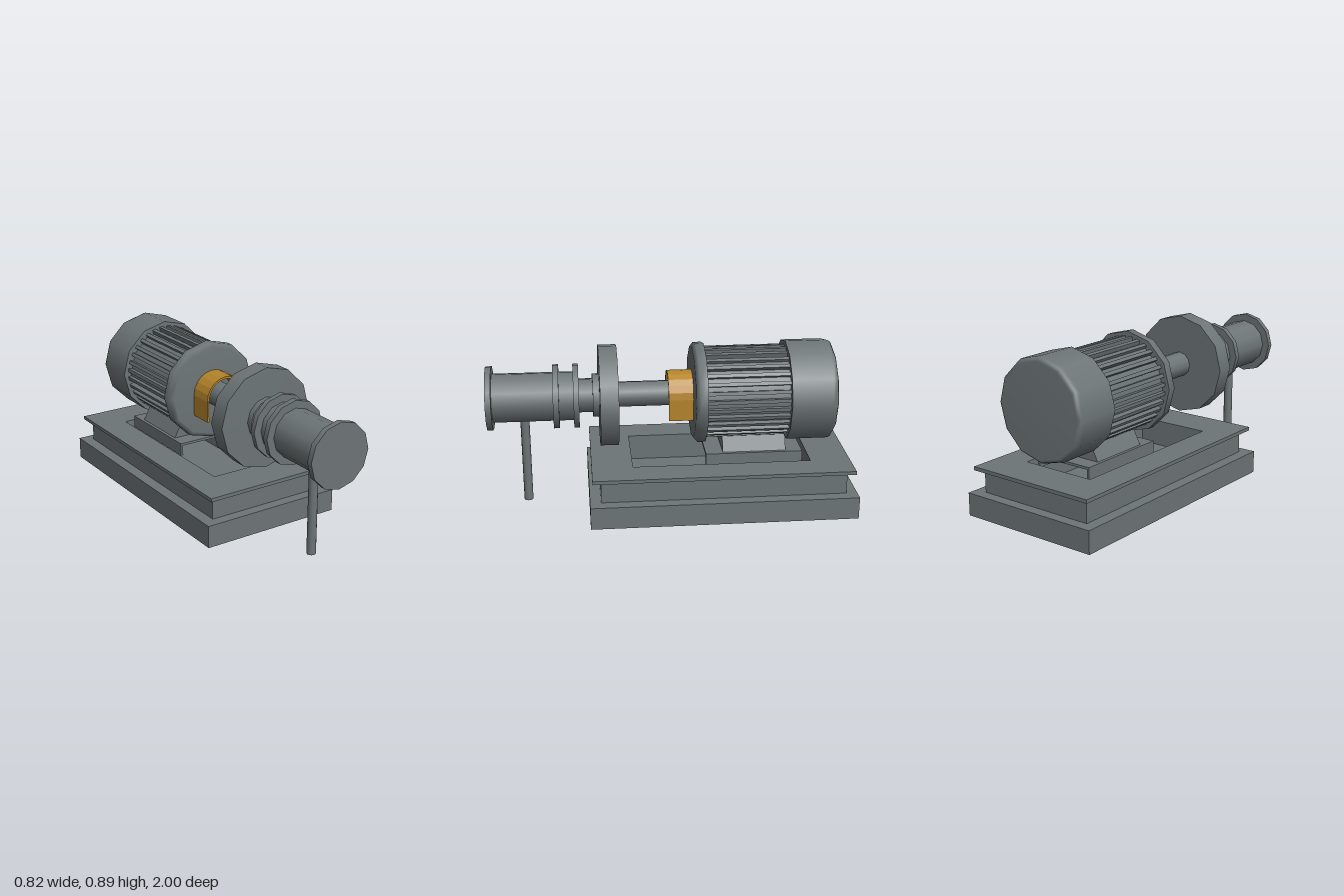
import * as THREE from 'three';

export function createModel() {
  const group = new THREE.Group();
  const steel = new THREE.MeshStandardMaterial({ color: 0x6d7577 });
  steel.name = 'steel grey';
  const amber = new THREE.MeshStandardMaterial({ color: 0xb4842a });
  amber.name = 'amber guard';
  const AXIS = 0.615; // height of the shaft line

  const add = (name, geometry, material = steel, parent = group) => {
    const mesh = new THREE.Mesh(geometry, material);
    mesh.name = name;
    parent.add(mesh);
    return mesh;
  };
  const box = (name, x0, x1, y0, y1, z0, z1) =>
    add(name, new THREE.BoxGeometry(x1 - x0, y1 - y0, z1 - z0)
      .translate((x0 + x1) / 2, (y0 + y1) / 2, (z0 + z1) / 2));
  // Twelve-sided disc or barrel along the shaft line
  const barrel = (name, r, z0, z1) =>
    add(name, new THREE.CylinderGeometry(r, r, z1 - z0, 12)
      .rotateX(Math.PI / 2).translate(0, AXIS, (z0 + z1) / 2));
  // Turned part: [radius, z] points listed from back to front
  const turned = (name, points) =>
    add(name, new THREE.LatheGeometry(points.map(([r, z]) => new THREE.Vector2(r, z)), 12)
      .rotateX(Math.PI / 2).translate(0, AXIS, 0));
  // Rectangular frame with a rectangular opening
  const frame = (name, w, y0, y1, z0, z1) => {
    const shape = new THREE.Shape([[-w, -z1], [w, -z1], [w, -z0], [-w, -z0]]
      .map(([x, y]) => new THREE.Vector2(x, y)));
    shape.holes.push(new THREE.Path([[-0.215, -0.22], [-0.215, 0.76], [0.215, 0.76], [0.215, -0.22]]
      .map(([x, y]) => new THREE.Vector2(x, y))));
    add(name, new THREE.ExtrudeGeometry(shape, { depth: y1 - y0, bevelEnabled: false })
      .rotateX(-Math.PI / 2).translate(0, y0, 0));
  };

  // Stepped base
  box('plinth', -0.41, 0.41, 0, 0.125, -1, 0.46);
  frame('baseFrame', 0.345, 0.125, 0.25, -0.94, 0.4);
  frame('baseTopPlate', 0.382, 0.25, 0.27, -0.98, 0.445);

  // Motor foot: inverted channel with a tapered pedestal
  box('footPlate', -0.175, 0.175, 0.298, 0.312, -0.72, -0.185);
  for (const s of [-1, 1]) {
    box('footLeg', s * 0.168 - 0.007, s * 0.168 + 0.007, 0.24, 0.3, -0.72, -0.185);
  }
  const wedge = new THREE.Shape([[-0.157, 0.312], [0.157, 0.312], [0.095, 0.43], [-0.095, 0.43]]
    .map(([x, y]) => new THREE.Vector2(x, y)));
  add('motorPedestal', new THREE.ExtrudeGeometry(wedge, { depth: 0.35, bevelEnabled: false })
    .translate(0, 0, -0.63));

  // Motor housing with chamfered end covers
  turned('motorRearCover', [[0, -0.89], [0.255, -0.89], [0.272, -0.88], [0.28, -0.86], [0.28, -0.635]]);
  barrel('rearCoverFace', 0.279, -0.645, -0.635);
  turned('motorFrontCover', [[0.28, -0.185], [0.28, -0.14], [0.255, -0.12], [0, -0.12]]);
  barrel('frontCoverFace', 0.279, -0.185, -0.175);
  barrel('motorCore', 0.235, -0.64, -0.18);

  // Cooling fins around the motor
  const fins = new THREE.Group();
  fins.name = 'coolingFins';
  fins.position.set(0, AXIS, -0.41);
  group.add(fins);
  const finCount = 32;
  for (let i = 0; i < finCount; i++) {
    const fin = add('coolingFin', new THREE.BoxGeometry(0.04, 0.02, 0.46).translate(0.232, 0, 0), steel, fins);
    fin.rotation.z = ((i + 0.5) / finCount) * Math.PI * 2;
  }

  // Shaft and pump
  barrel('driveShaft', 0.07, -0.13, 0.3);
  barrel('pumpBackPlate', 0.28, 0.29, 0.39);
  barrel('neckCollar', 0.12, 0.385, 0.425);
  barrel('pumpNeck', 0.094, 0.385, 0.51);
  barrel('pumpBody', 0.135, 0.5, 0.98);
  for (const [z0, z1] of [[0.5, 0.53], [0.608, 0.64], [0.968, 1]]) {
    barrel('pumpFlange', 0.177, z0, z1);
  }
  add('supportPost', new THREE.CylinderGeometry(0.025, 0.025, 0.49, 12).translate(0, 0.245, 0.8));

  // Arched coupling guard, open below
  const arch = new THREE.Shape();
  arch.moveTo(0.125, -0.12);
  arch.lineTo(0.125, 0);
  arch.absarc(0, 0, 0.125, 0, Math.PI, false);
  arch.lineTo(-0.125, -0.12);
  arch.lineTo(-0.113, -0.12);
  arch.lineTo(-0.113, 0);
  arch.absarc(0, 0, 0.113, Math.PI, 0, true);
  arch.lineTo(0.113, -0.12);
  arch.closePath();
  add('couplingGuard', new THREE.ExtrudeGeometry(arch, { depth: 0.135, bevelEnabled: false, curveSegments: 5 })
    .translate(0, AXIS, -0.12), amber);

  return group;
}
